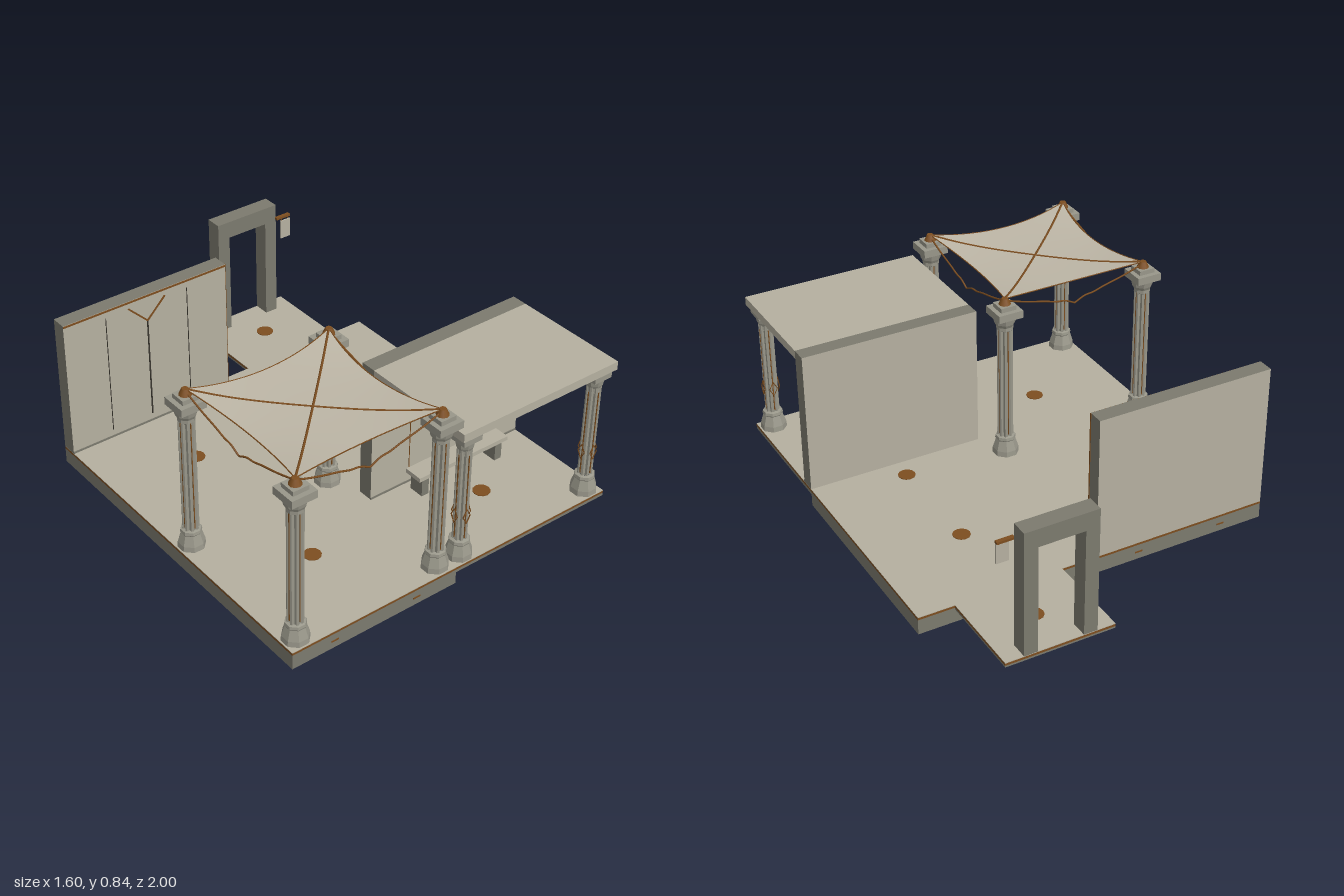
import * as THREE from 'three';

const mat = (name, color, extra = {}) => {
  const m = new THREE.MeshStandardMaterial({ color, ...extra });
  m.name = name;
  return m;
};

export function createModel() {
  const root = new THREE.Group();
  const light = mat('pale stone', 0xb5b0a0);
  const dark = mat('dark stone', 0x7c7a6e);
  const stone = mat('column stone', 0x99978a, { flatShading: true });
  const bronze = mat('bronze', 0x7d4e20);
  const line = mat('dark seam', 0x38352e);
  const cloth = mat('canopy cloth', 0xbdb6a6, { side: THREE.DoubleSide });

  const add = (name, geo, m, parent = root) => {
    const mesh = new THREE.Mesh(geo, m);
    mesh.name = name;
    parent.add(mesh);
    return mesh;
  };
  // box given by its extents
  const box = (name, m, x0, x1, y0, y1, z0, z1, parent = root) => {
    const b = add(name, new THREE.BoxGeometry(x1 - x0, y1 - y0, z1 - z0), m, parent);
    b.position.set((x0 + x1) / 2, (y0 + y1) / 2, (z0 + z1) / 2);
    return b;
  };
  const rope = (name, pts, r, parent = root) =>
    add(name, new THREE.TubeGeometry(new THREE.CatmullRomCurve3(pts), 24, r, 5), bronze, parent);
  const V = (x, y, z) => new THREE.Vector3(x, y, z);

  // L-shaped foundation, thin overhanging floor and rear landing
  box('foundationLeft', dark, -0.8, 0, 0, 0.06, -0.6, 1);
  box('foundationRight', dark, 0, 0.8, 0, 0.06, -0.6, 0.4);
  box('overhang', dark, 0, 0.8, 0.055, 0.066, 0.4, 1);
  box('rearLanding', dark, 0.16, 0.64, 0.06, 0.066, -1, -0.6);
  for (const [x0, x1, z0, z1] of [[-0.8, 0.8, -0.6, 1], [0.16, 0.64, -1, -0.6]]) {
    box('floorUnderside', dark, x0, x1, 0.06, 0.068, z0, z1);
    box('floorTrim', bronze, x0, x1, 0.068, 0.078, z0, z1);
    box('floor', light, x0, x1, 0.078, 0.081, z0, z1);
  }
  // round floor inlays
  for (const [x, z] of [[-0.4, -0.2], [0.4, -0.2], [0.4, 0.3], [0.4, 0.7], [-0.4, 0.6], [0.4, -0.8]]) {
    add('floorInlay', new THREE.CylinderGeometry(0.038, 0.038, 0.004, 12), bronze).position.set(x, 0.082, z);
  }
  // small plates on the foundation sides
  for (const s of [-0.6, -0.2, 0.2, 0.6]) {
    const zf = s < 0 ? 1 : 0.4;
    box('foundationPlate', bronze, s - 0.017, s + 0.017, 0.031, 0.038, zf, zf + 0.002);
    box('foundationPlate', bronze, s - 0.017, s + 0.017, 0.031, 0.038, -0.602, -0.6);
  }

  // freestanding walls with panel seams and a V-shaped inlay
  const faces = [dark, dark, dark, dark, light, light];
  const wall = (name, x0, z0, seam) => {
    const g = new THREE.Group();
    g.name = name;
    root.add(g);
    const zf = z0 + 0.07, cx = x0 + 0.4;
    box('wallBody', faces, x0, x0 + 0.8, 0.08, 0.72, z0, zf, g);
    for (const s of [-0.2, 0.2])
      box('panelSeam', seam, cx + s - 0.0015, cx + s + 0.0015, 0.12, 0.68, zf, zf + 0.002, g);
    box('centreSeam', line, cx - 0.003, cx + 0.003, 0.12, 0.595, zf, zf + 0.003, g);
    for (const s of [-1, 1]) {
      const arm = add('inlayArm', new THREE.BoxGeometry(0.007, 0.127, 0.004), bronze, g);
      arm.position.set(cx + s * 0.045, 0.64, zf + 0.002);
      arm.rotation.z = -s * Math.PI / 4;
    }
    box('skirting', dark, x0, x0 + 0.8, 0.081, 0.09, zf, zf + 0.003, g);
    return g;
  };
  const back = wall('backWall', -0.8, -0.6, line);
  box('wallTopTrim', bronze, -0.8, 0, 0.71, 0.718, -0.53, -0.527, back);
  box('wallEdgeTrim', bronze, 0, 0.002, 0.08, 0.72, -0.535, -0.529, back);

  // shelter
  wall('shelterWall', 0, 0.4, bronze);
  box('shelterRoof', light, 0, 0.8, 0.682, 0.72, 0.47, 1);

  // bench
  box('benchSeat', light, 0.16, 0.64, 0.165, 0.185, 0.5, 0.587);
  for (const x of [0.18, 0.58]) box('benchLeg', dark, x, x + 0.036, 0.08, 0.165, 0.51, 0.58);

  // columns: octagonal foot, fluted shaft, flared capital
  const column = (name, x, z, top, big) => {
    const g = new THREE.Group();
    g.name = name;
    g.position.set(x, 0, z);
    root.add(g);
    const lathe = (n, pts, sides) => {
      const m = add(n, new THREE.LatheGeometry(pts.map(p => new THREE.Vector2(...p)), sides), stone, g);
      m.rotation.y = Math.PI / sides;
      return m;
    };
    const k = big ? 1 : 0.8;
    lathe('foot', [[0, 0.08], [0.058, 0.08], [0.056, 0.105], [0.042, 0.15], [0.045, 0.155], [0.043, 0.168], [0.03, 0.172]], 8);
    // fluted shaft with alternating ridges
    const shape = new THREE.Shape();
    for (let i = 0; i < 24; i++) {
      const a = i / 24 * Math.PI * 2, r = (i % 3 ? 0.034 : 0.026) * (big ? 1 : 0.92);
      shape[i ? 'lineTo' : 'moveTo'](Math.cos(a) * r, Math.sin(a) * r);
    }
    const shaft = add('shaft', new THREE.ExtrudeGeometry(shape, { depth: top - 0.24, bevelEnabled: false }), stone, g);
    shaft.rotation.x = -Math.PI / 2;
    shaft.position.y = 0.17;
    const c = top - 0.1;
    lathe('capital', [[0.03, c], [0.036 * k, c + 0.005], [0.036 * k, c + 0.02], [0.044 * k, c + 0.035],
      [0.05 * k, c + 0.06], [0.056 * k, c + 0.068], [0, c + 0.068]], 8);
    // bronze strips in the flutes
    for (let i = 0; i < 4; i++) {
      const a = i * Math.PI / 2;
      const s = add('fluteStrip', new THREE.BoxGeometry(0.004, top - 0.28, 0.003), bronze, g);
      s.position.set(Math.sin(a) * 0.028, (top + 0.08) / 2, Math.cos(a) * 0.028);
      s.rotation.y = a;
    }
    const w = big ? 0.057 : 0.045;
    box('abacus', stone, -w, w, c + 0.066, top, -w, w, g);
    if (big) {
      box('capStep', stone, -0.036, 0.036, top, top + 0.02, -0.036, 0.036, g);
      add('finial', new THREE.CylinderGeometry(0.014, 0.027, 0.028, 10), bronze, g).position.y = top + 0.033;
    } else {
      // diamond ornaments round the shaft
      for (let i = 0; i < 4; i++) {
        const d = add('diamond', new THREE.TorusGeometry(0.024, 0.003, 4, 4), bronze, g);
        d.scale.set(0.75, 1.4, 1);
        d.rotation.y = i * Math.PI / 2;
        d.position.set(Math.sin(d.rotation.y) * 0.034, 0.29, Math.cos(d.rotation.y) * 0.034);
      }
    }
  };
  for (const x of [0.06, 0.74]) column('shelterColumn', x, 0.943, 0.68, false);
  for (const x of [-0.74, -0.06]) for (const z of [0.26, 0.94]) column('canopyColumn', x, z, 0.787, true);

  // sagging canopy with concave edges
  const canopy = new THREE.Group();
  canopy.name = 'canopy';
  canopy.position.set(-0.4, 0, 0.6);
  root.add(canopy);
  const H = 0.34, bow = 0.045;
  const sheet = (u, v) => V(
    u * (H - bow * (1 - v * v)),
    0.797 + 0.022 * u * u * v * v + 0.006 * (u * u + v * v),
    v * (H - bow * (1 - u * u)));
  const geo = new THREE.PlaneGeometry(2, 2, 16, 16).rotateX(-Math.PI / 2);
  const p = geo.attributes.position;
  for (let i = 0; i < p.count; i++) {
    const q = sheet(p.getX(i), p.getZ(i));
    p.setXYZ(i, q.x, q.y, q.z);
  }
  geo.computeVertexNormals();
  add('canopyCloth', geo, cloth, canopy);
  const steps = [-1, -0.75, -0.5, -0.25, 0, 0.25, 0.5, 0.75, 1];
  for (const s of [-1, 1]) rope('diagonalRope', steps.map(t => sheet(t, s * t)), 0.005, canopy);
  for (let i = 0; i < 4; i++) {
    const side = new THREE.Group();
    side.name = 'canopySide';
    side.rotation.y = i * Math.PI / 2;
    canopy.add(side);
    rope('hemRope', steps.map(t => sheet(t, 1)), 0.0025, side);
    // drooping tie ropes meeting in a point
    for (const s of [-1, 1])
      rope('tieRope', [V(s * H, 0.822, H), V(s * 0.24, 0.79, H), V(s * 0.14, 0.765, H),
        V(s * 0.09, 0.75, H), V(s * 0.05, 0.745, H), V(0, 0.722, H)], 0.004, side);
  }

  // gateway on the rear landing
  for (const x of [0.24, 0.5]) box('gatePost', dark, x, x + 0.06, 0.08, 0.56, -1, -0.925);
  box('gateLintel', dark, 0.24, 0.56, 0.56, 0.64, -1, -0.925);
  // hanging sign
  box('signArm', bronze, 0.555, 0.63, 0.568, 0.578, -0.926, -0.908);
  box('signBoard', light, 0.572, 0.625, 0.47, 0.56, -0.909, -0.902);
  for (const x of [0.58, 0.615]) box('signHanger', bronze, x, x + 0.003, 0.555, 0.572, -0.912, -0.907);

  return root;
}
